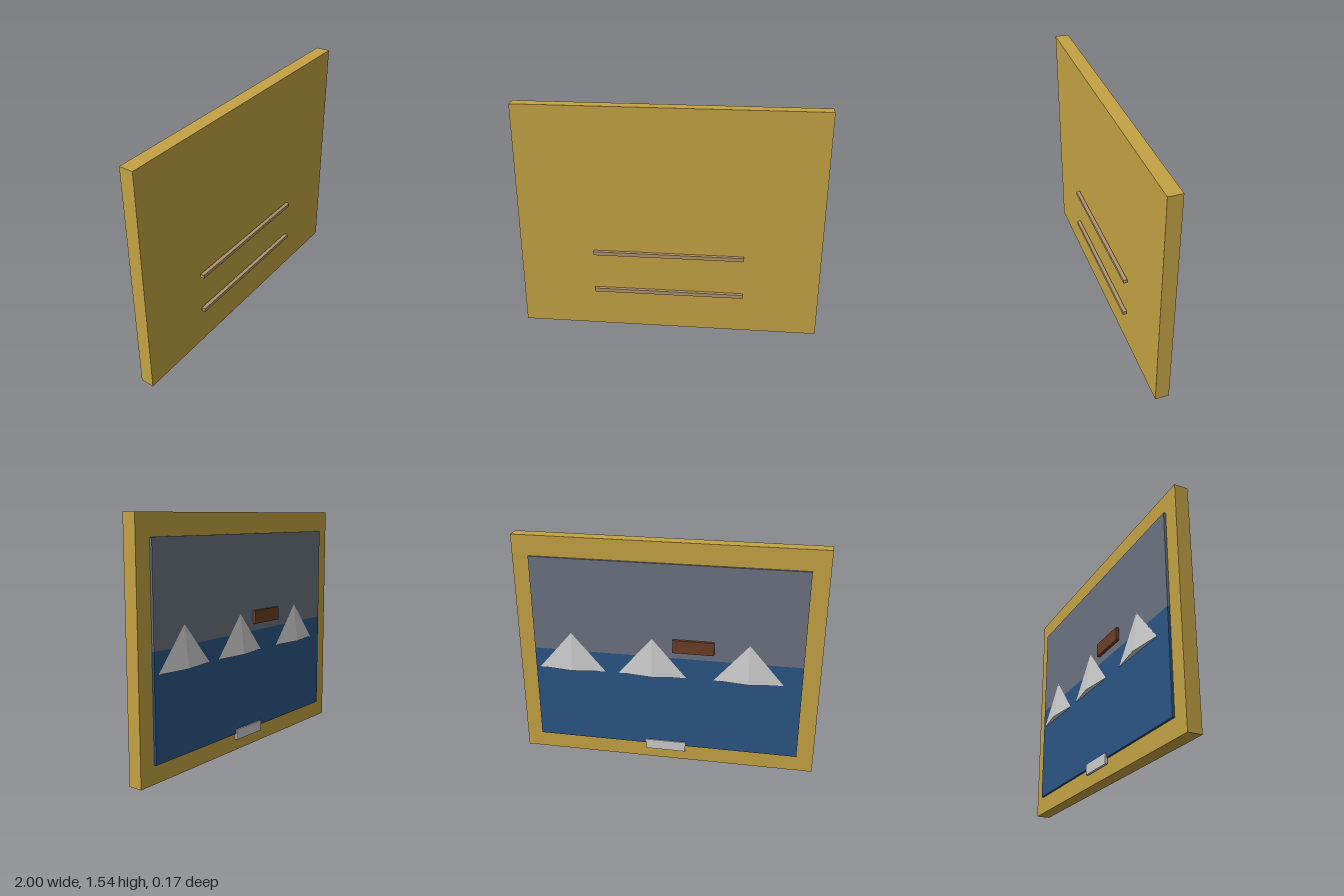
import * as THREE from 'three';

const material = (color) => new THREE.MeshStandardMaterial({ color, flatShading: true });

export function createModel() {
  const model = new THREE.Group();

  // Box given by its extents along each axis
  function addBox(name, color, [x0, x1], [y0, y1], [z0, z1]) {
    const mesh = new THREE.Mesh(new THREE.BoxGeometry(x1 - x0, y1 - y0, z1 - z0), material(color));
    mesh.name = name;
    mesh.position.set((x0 + x1) / 2, (y0 + y1) / 2, (z0 + z1) / 2);
    model.add(mesh);
  }

  // Thick board whose rim frames the painted scene on the back
  addBox('frameBoard', 0xc4a344, [-1, 1], [0, 1.545], [-0.037, 0.053]);

  // Scene panels: sky above, sea below
  addBox('sky', 0x6b7280, [-0.89, 0.89], [0.775, 1.41], [-0.052, -0.037]);
  addBox('sea', 0x2b5585, [-0.89, 0.89], [0.115, 0.775], [-0.052, -0.037]);

  // Mountains: flattened four-sided cones set into the panel
  const mountainGeometry = new THREE.ConeGeometry(0.227, 0.262, 4);
  mountainGeometry.scale(1, 1, 0.13);
  const mountainMaterial = material(0xcccccc);
  for (const x of [-0.545, 0.09, 0.633]) {
    const mountain = new THREE.Mesh(mountainGeometry, mountainMaterial);
    mountain.name = 'mountain';
    mountain.position.set(x, 0.771, -0.0555);
    model.add(mountain);
  }

  // Small boat block in front of the horizon
  addBox('boat', 0x6b3e26, [-0.318, -0.048], [0.822, 0.91], [-0.075, -0.055]);

  // Name plate on the lower rim
  addBox('plate', 0xe8e8e8, [-0.135, 0.135], [0.076, 0.145], [-0.06, -0.043]);

  // Two horizontal rails on the plain side
  for (const y of [0.275, 0.55]) {
    addBox('rail', 0xb0936b, [-0.5, 0.5], [y - 0.0125, y + 0.0125], [0.06, 0.085]);
  }

  return model;
}
